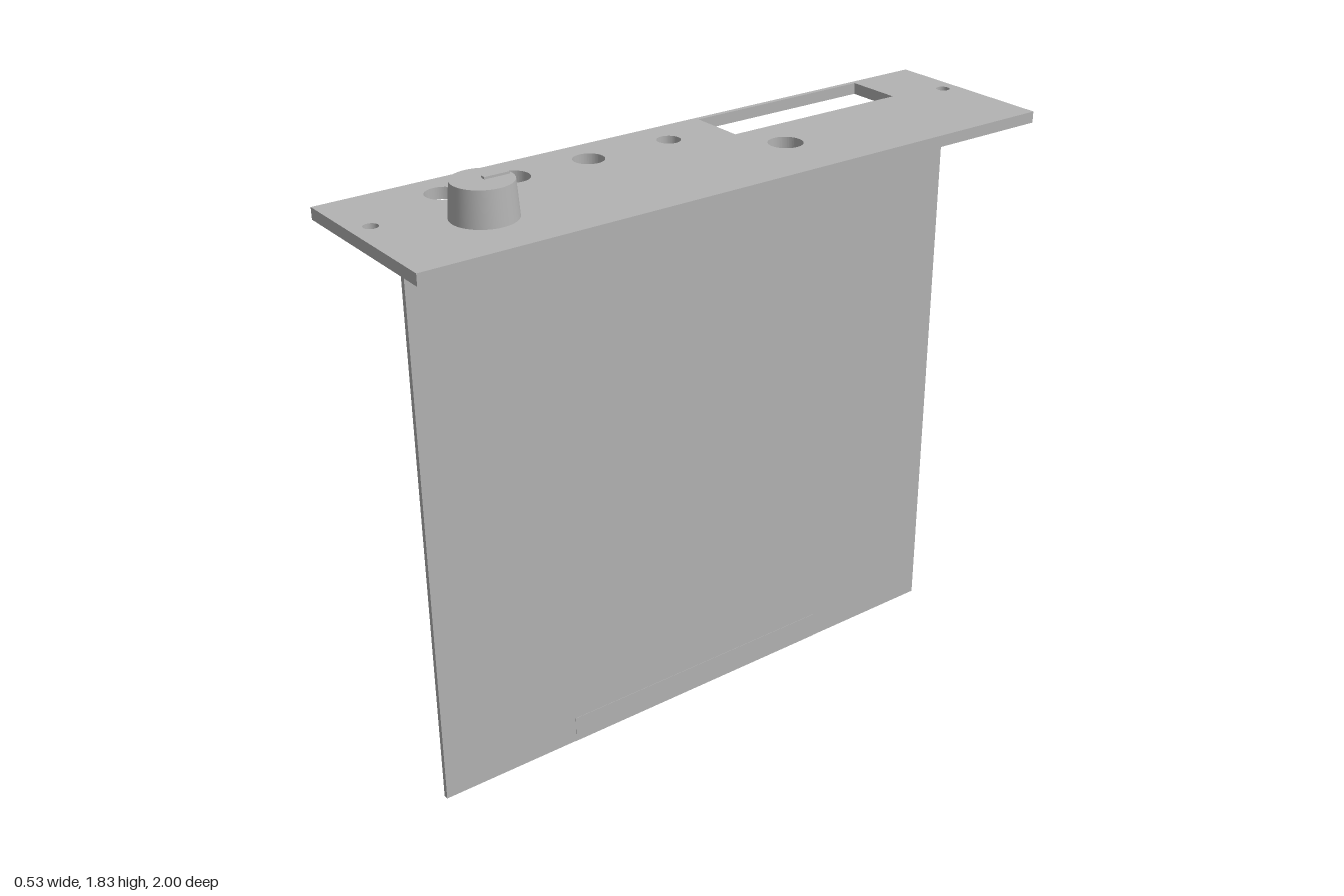
import * as THREE from 'three';

export function createModel() {
  const group = new THREE.Group();
  const grey = new THREE.MeshStandardMaterial({ color: 0xb3b3b3 });
  grey.name = 'plain grey';

  const add = (name, geometry, x, y, z) => {
    const mesh = new THREE.Mesh(geometry, grey);
    mesh.name = name;
    mesh.position.set(x, y, z);
    group.add(mesh);
    return mesh;
  };
  // Box given by its limits on each axis
  const addBox = (name, [x0, x1], [y0, y1], [z0, z1]) =>
    add(name, new THREE.BoxGeometry(x1 - x0, y1 - y0, z1 - z0),
      (x0 + x1) / 2, (y0 + y1) / 2, (z0 + z1) / 2);

  const rectangle = (PathType, x0, z0, x1, z1) =>
    new PathType([[x0, z0], [x1, z0], [x1, z1], [x0, z1]].map(p => new THREE.Vector2(...p)));

  // Panel with a window and round holes: x, z, radius
  const panel = rectangle(THREE.Shape, -0.267, -1, 0.267, 1);
  panel.holes.push(rectangle(THREE.Path, -0.252, -0.778, -0.084, -0.19));
  const holes = [
    [-0.052, -0.95, 0.02], [-0.06, 0.943, 0.02],
    [-0.157, -0.016, 0.034], [-0.156, 0.248, 0.044],
    [-0.157, 0.484, 0.048], [-0.157, 0.69, 0.048],
    [0.054, -0.256, 0.049],
  ];
  for (const [x, z, r] of holes) {
    panel.holes.push(new THREE.Path().absarc(x, z, r, 0, Math.PI * 2, true));
  }
  const panelGeometry = new THREE.ExtrudeGeometry(panel, {
    depth: 0.033, bevelEnabled: false, curveSegments: 32,
  });
  panelGeometry.rotateX(Math.PI / 2);
  add('frontPanel', panelGeometry, 0, 1.723, 0);

  // Circuit board with its folded mounting flange and edge connector
  addBox('board', [-0.009, 0.006], [0, 1.69], [-0.9, 0.9]);
  addBox('mountingFlange', [0.006, 0.128], [1.676, 1.69], [-0.9, 0.9]);
  addBox('edgeConnector', [-0.01, 0.007], [0, 0.082], [-0.46, 0.46]);

  // Tapered knob with a raised pointer
  add('knob', new THREE.CylinderGeometry(0.082, 0.089, 0.097, 48), 0.05, 1.7715, 0.692);
  addBox('knobPointer', [0.043, 0.057], [1.815, 1.826], [0.618, 0.69]);

  return group;
}
